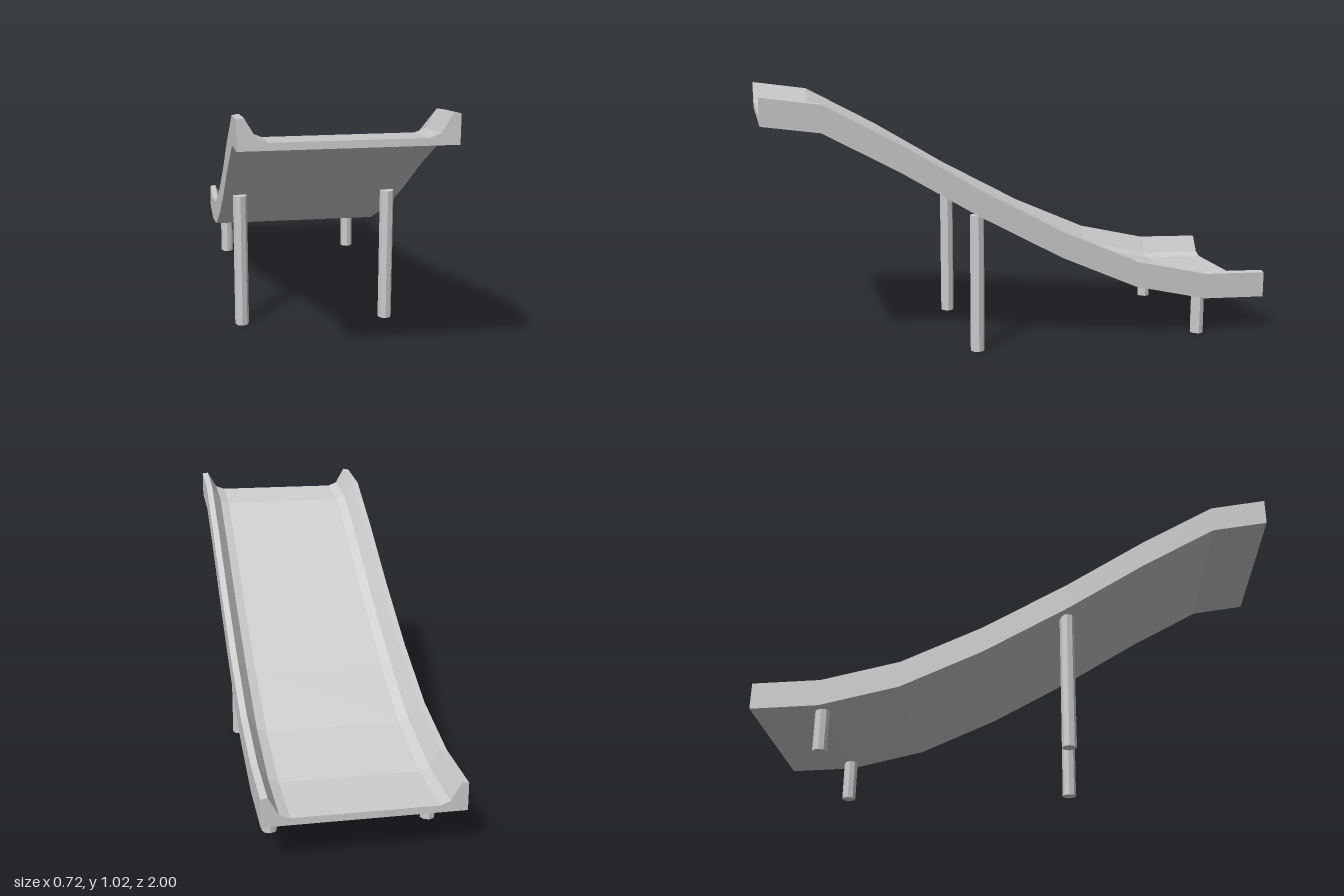
import * as THREE from 'three';

export function createModel() {
  const model = new THREE.Group();
  model.name = 'slide';
  const grey = new THREE.MeshStandardMaterial({ color: 0xcccccc });
  grey.name = 'light grey';

  // Underside path of the chute, back (low) to front (high): [z, y]
  const path = [
    [-1, 0.15], [-0.74, 0.16], [-0.44, 0.23], [-0.13, 0.368],
    [0.2, 0.548], [0.5, 0.73], [0.785, 0.885], [1, 0.915],
  ];

  // Channel cross-section: right half mirrored to the left
  const half = [[0.36, 0], [0.36, 0.103], [0.335, 0.107], [0.297, 0.04], [0.26, 0.026]];
  const mirrored = half.map(([x, y]) => [-x, y]).reverse();
  const shape = new THREE.Shape([...half, ...mirrored].map(([x, y]) => new THREE.Vector2(x, y)));

  // Extrude one step per path segment, then move each section onto the path
  const steps = path.length - 1;
  const chuteGeometry = new THREE.ExtrudeGeometry(shape, { depth: steps, steps, bevelEnabled: false });
  const pos = chuteGeometry.attributes.position;
  for (let i = 0; i < pos.count; i++) {
    const [z, y] = path[Math.round(pos.getZ(i))];
    pos.setY(i, pos.getY(i) + y);
    pos.setZ(i, z);
  }
  chuteGeometry.computeVertexNormals();
  chuteGeometry.clearGroups();
  const chute = new THREE.Mesh(chuteGeometry, grey);
  chute.name = 'chute';
  model.add(chute);

  // Eight-sided support legs in two pairs
  for (const [name, z, height] of [['frontLeg', 0.197, 0.543], ['backLeg', -0.737, 0.161]]) {
    for (const side of [-1, 1]) {
      const geometry = new THREE.CylinderGeometry(0.028, 0.028, height, 8).toNonIndexed();
      geometry.computeVertexNormals();
      const leg = new THREE.Mesh(geometry, grey);
      leg.name = name + (side > 0 ? 'Left' : 'Right');
      leg.position.set(side * 0.295, height / 2, z);
      model.add(leg);
    }
  }
  return model;
}
